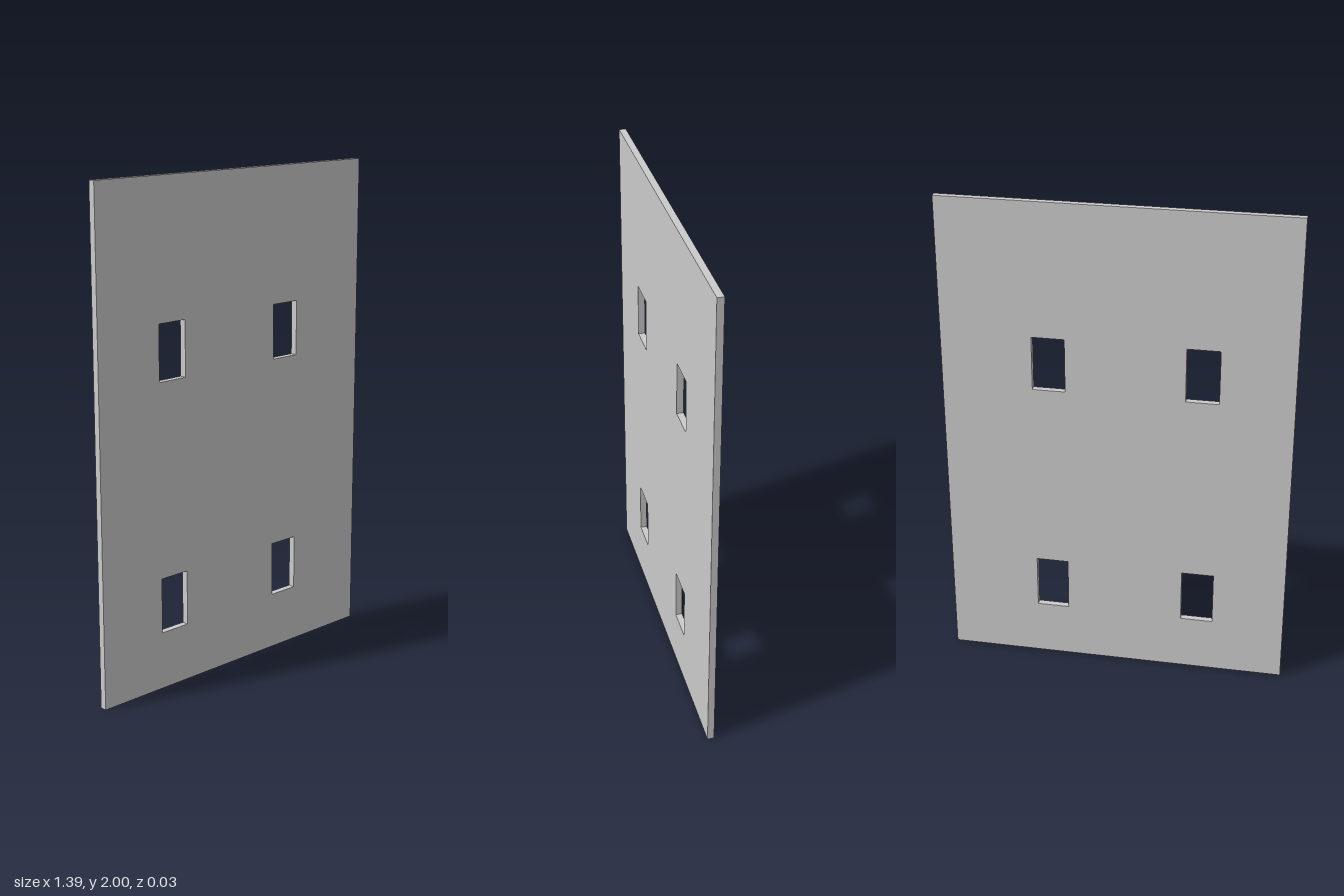
import * as THREE from 'three';

const WIDTH = 1.393, HEIGHT = 2, DEPTH = 0.027;
const WINDOW_W = 0.131, WINDOW_H = 0.222;

// Traces a rectangle from its lower left corner
function rect(path, x, y, w, h) {
  path.moveTo(x, y);
  path.lineTo(x + w, y);
  path.lineTo(x + w, y + h);
  path.lineTo(x, y + h);
  path.closePath();
  return path;
}

export function createModel() {
  const group = new THREE.Group();
  group.name = 'wall';

  // Wall slab pierced by two rows of two window openings
  const shape = rect(new THREE.Shape(), -WIDTH / 2, 0, WIDTH, HEIGHT);
  for (const x of [-0.404, 0.202]) {
    for (const y of [0.232, 1.232]) {
      shape.holes.push(rect(new THREE.Path(), x, y, WINDOW_W, WINDOW_H));
    }
  }
  const geometry = new THREE.ExtrudeGeometry(shape, { depth: DEPTH, bevelEnabled: false });
  geometry.translate(0, 0, -DEPTH / 2);

  const panel = new THREE.Mesh(geometry, new THREE.MeshStandardMaterial({ color: 0xcccccc }));
  panel.name = 'wallPanel';
  group.add(panel);
  return group;
}
